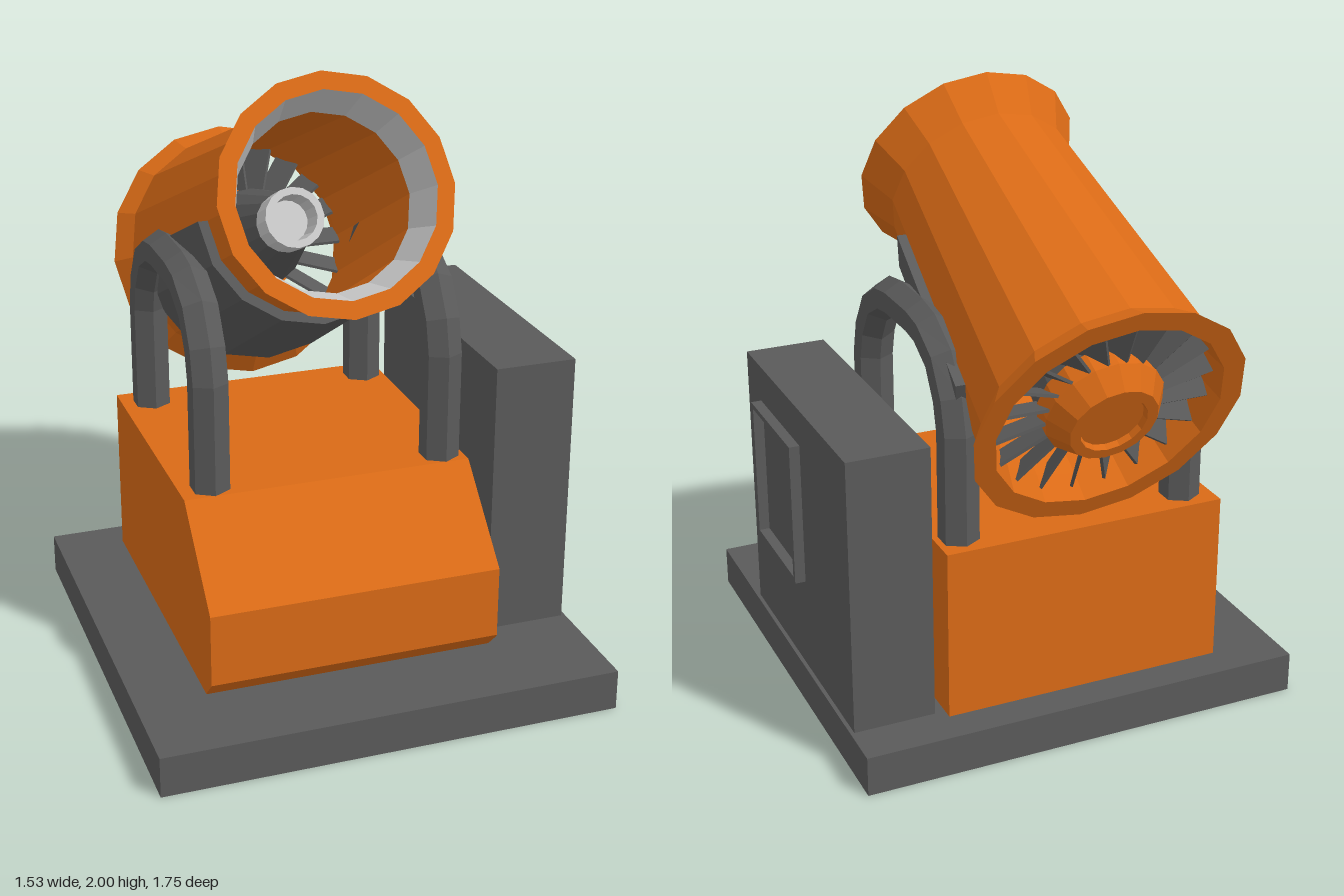
import * as THREE from 'three';

const V2 = (x, y) => new THREE.Vector2(x, y);

export function createModel() {
  const model = new THREE.Group();
  const mat = (color, side = THREE.FrontSide) =>
    new THREE.MeshStandardMaterial({ color, flatShading: true, side });
  const orange = mat(0xd96a16), dark = mat(0x5a5a5a), pale = mat(0xcccccc);
  const darkBoth = mat(0x5a5a5a, THREE.DoubleSide);

  const add = (parent, name, geo, material) => {
    const m = new THREE.Mesh(geo, material);
    m.name = name;
    parent.add(m);
    return m;
  };
  // Box given by its limits on each axis
  const box = (parent, name, [x0, x1], [y0, y1], [z0, z1], material) => {
    const m = add(parent, name, new THREE.BoxGeometry(x1 - x0, y1 - y0, z1 - z0), material);
    m.position.set((x0 + x1) / 2, (y0 + y1) / 2, (z0 + z1) / 2);
    return m;
  };

  // Base plate
  box(model, 'basePlate', [-0.77, 0.74], [0, 0.135], [-0.635, 0.875], dark);

  // Housing: side profile (z, y) extruded across x
  const side = new THREE.Shape([
    V2(-0.52, 0.135), V2(0.575, 0.135), V2(0.64, 0.2), V2(0.64, 0.44), V2(0.37, 0.71), V2(-0.52, 0.71),
  ]);
  const housing = new THREE.ExtrudeGeometry(side, { depth: 0.96, bevelEnabled: false });
  housing.rotateY(-Math.PI / 2);
  housing.translate(0.42, 0, 0);
  add(model, 'housing', housing, orange);
  // Dark underside bevel of the housing
  const bevel = new THREE.PlaneGeometry(0.96, 0.092);
  bevel.rotateX(Math.PI / 4);
  bevel.translate(-0.06, 0.1665, 0.6095);
  add(model, 'housingLowerBevel', bevel, orange);

  // Control cabinet with a framed, recessed door
  const cabinet = new THREE.Group();
  cabinet.name = 'controlCabinet';
  model.add(cabinet);
  box(cabinet, 'cabinetBody', [0.455, 0.727], [0.135, 1.065], [-0.485, 0.49], dark);
  const rect = (w, h) => [V2(-w, -h), V2(w, -h), V2(w, h), V2(-w, h)];
  const frame = new THREE.Shape(rect(0.2, 0.2425));
  frame.holes.push(new THREE.Path(rect(0.182, 0.225)));
  const frameGeo = new THREE.ExtrudeGeometry(frame, { depth: 0.035, bevelEnabled: false });
  frameGeo.rotateY(Math.PI / 2);
  frameGeo.translate(0.727, 0.6975, 0.15);
  add(cabinet, 'doorFrame', frameGeo, dark);

  // Support arches: hexagonal bar swept along a rounded path
  const path = [[0.305, 0.7], [0.305, 1.07], [0.28, 1.17], [0.215, 1.275], [0.11, 1.333],
    [0.03, 1.345], [-0.15, 1.345], [-0.23, 1.333], [-0.335, 1.275], [-0.4, 1.17], [-0.425, 1.07], [-0.425, 0.7]];
  const archGeometry = () => {
    const pos = [], index = [], sides = 6, r = 0.066;
    path.forEach(([z, y], i) => {
      const p = path[Math.max(i - 1, 0)], n = path[Math.min(i + 1, path.length - 1)];
      const len = Math.hypot(n[0] - p[0], n[1] - p[1]);
      const nz = (n[1] - p[1]) / len, ny = -(n[0] - p[0]) / len;
      for (let k = 0; k < sides; k++) {
        const a = (k / sides) * Math.PI * 2, c = r * Math.cos(a);
        pos.push(r * Math.sin(a), y + ny * c, z + nz * c);
        if (i === 0) continue;
        const k2 = (k + 1) % sides, a0 = (i - 1) * sides, b0 = i * sides;
        index.push(a0 + k, a0 + k2, b0 + k, a0 + k2, b0 + k2, b0 + k);
      }
    });
    const g = new THREE.BufferGeometry();
    g.setAttribute('position', new THREE.Float32BufferAttribute(pos, 3));
    g.setIndex(index);
    g.computeVertexNormals();
    return g;
  };
  for (const s of [-1, 1]) {
    add(model, s > 0 ? 'leftArch' : 'rightArch', archGeometry(), darkBoth).position.x = -0.048 + s * 0.39;
  }

  // Tilted barrel: local +z runs along the axis, origin at the muzzle centre
  const barrel = new THREE.Group();
  barrel.name = 'barrel';
  barrel.position.set(-0.045, 1.658, 0.393);
  barrel.rotation.x = -THREE.MathUtils.degToRad(25.3);
  model.add(barrel);

  // Lathe about the barrel axis, points are [radius, z]
  const turn = (name, pts, material, seg = 16, start = 0, sweep = Math.PI * 2) => {
    const g = new THREE.LatheGeometry(pts.map(([r, z]) => V2(r, z)), seg, start, sweep);
    g.rotateX(Math.PI / 2);
    return add(barrel, name, g, material);
  };

  turn('barrelOuter', [[0.375, -1.194], [0.446, -1.194], [0.395, -1.122], [0.318, -0.135], [0.379, 0], [0.322, 0]], orange);
  turn('muzzleLiner', [[0.322, 0], [0.282, -0.143]], pale);
  turn('barrelInner', [[0.282, -0.143], [0.355, -1.1], [0.375, -1.194]], orange);

  // Half-round cradle under the barrel
  const f = [0.362, -0.30], b = [0.415, -0.965], fi = [0.325, -0.30], bi = [0.375, -0.965];
  turn('cradle', [bi, b, f, fi], darkBoth, 8, -Math.PI / 2, Math.PI);
  for (const s of [-1, 1]) {
    const edge = new THREE.ShapeGeometry(new THREE.Shape([bi, b, f, fi].map(([r, z]) => V2(s * r, z))));
    edge.rotateX(Math.PI / 2);
    add(barrel, 'cradleEdge', edge, darkBoth);
  }

  // Motor hub, rear cap with a sunken centre, and spray nozzle
  turn('motorHub', [[0.19, -1.09], [0.17, -0.9], [0.09, -0.52]], dark);
  turn('rearCap', [[0, -1.2], [0.105, -1.2], [0.11, -1.22], [0.145, -1.22], [0.195, -1.15], [0.195, -1.08], [0, -1.08]], orange);
  turn('nozzle', [[0.1, -0.56], [0.1, -0.45], [0.076, -0.45], [0.07, -0.54], [0, -0.54]], pale);

  // Pitched fan blades
  const blades = 20;
  for (let i = 0; i < blades; i++) {
    const g = new THREE.BoxGeometry(0.01, 0.2, 0.11);
    g.rotateY(0.6);
    g.translate(0, 0.272, -1.1);
    g.rotateZ((i / blades) * Math.PI * 2);
    add(barrel, 'fanBlade', g, dark);
  }
  return model;
}
